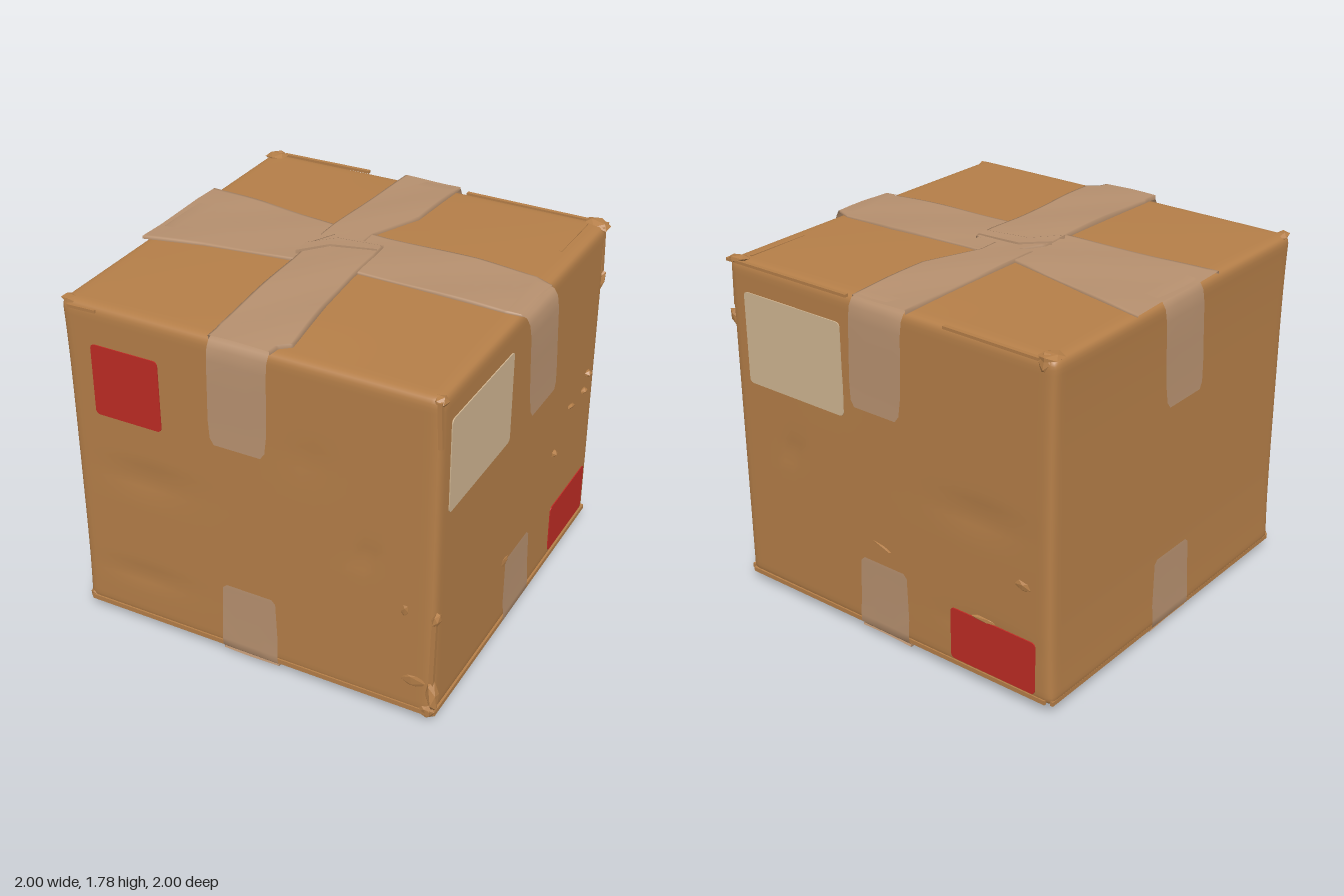
import * as THREE from 'three';
import { mergeVertices } from 'three/addons/utils/BufferGeometryUtils.js';

const mat = (name, color, extra = {}) => {
  const m = new THREE.MeshStandardMaterial({ color, ...extra });
  m.name = name;
  return m;
};
const XP = 0.925, XN = 0.95, Z = 0.94; // distances of the side walls

// Gently domed lid and base
const dome = (x, z) => Math.max(0, 1 - (x / 0.95) ** 2) * Math.max(0, 1 - (z / 0.95) ** 2);
const lidY = (x, z) => 1.727 + 0.025 * dome(x, z);
const baseY = (x, z) => 0.045 - 0.025 * dome(x, z);

// Rounded carton with dents and a slightly flared wall
function cartonGeometry() {
  let g = new THREE.BoxGeometry(2, 2, 2, 40, 40, 40);
  g.deleteAttribute('uv');
  g.deleteAttribute('normal');
  g = mergeVertices(g);
  const p = g.attributes.position, r = 0.045;
  const half = new THREE.Vector3((XP + XN) / 2, 0.841, Z);
  const core = half.clone().subScalar(r), v = new THREE.Vector3(), c = new THREE.Vector3();
  const spread = t => 1.5 * t - 0.5 * t ** 3; // finer cells near the edges
  const dents = [[-0.55, 0.87, 0.2, 0.05, 0.014], [-0.6, 0.3, 0.2, 0.04, 0.01], [0.58, 0.84, 0.04, 0.04, 0.015], [0.3, 1.25, 0.1, 0.08, 0.005]];
  for (let i = 0; i < p.count; i++) {
    v.fromBufferAttribute(p, i);
    v.set(spread(v.x), spread(v.y), spread(v.z)).multiply(half);
    c.copy(v).clamp(core.clone().negate(), core);
    v.sub(c).setLength(r).add(c);
    const side = v.y / half.y;
    v.x += (XP - XN) / 2;
    v.y += 0.886;
    if (side > 0.9) v.y += lidY(v.x, v.z) - 1.727;
    if (side < -0.9) v.y += baseY(v.x, v.z) - 0.045;
    if (v.x < -0.85) v.x -= 0.012 * side ** 4;
    if (Math.abs(v.z) > 0.9) for (const [x, y, w, h, d] of dents)
      v.z -= Math.sign(v.z) * d * Math.exp(-(((v.x - x) / w) ** 2) - ((v.y - y) / h) ** 2);
    p.setXYZ(i, v.x, v.y, v.z);
  }
  g.computeVertexNormals();
  return g;
}

// Sheet through equal-length rows of points
function sheet(rows) {
  const n = rows[0].length, idx = [];
  for (let i = 0; i < rows.length - 1; i++)
    for (let j = 0; j < n - 1; j++) {
      const a = i * n + j, b = a + n;
      idx.push(a, b, a + 1, b, b + 1, a + 1);
    }
  const g = new THREE.BufferGeometry();
  g.setAttribute('position', new THREE.Float32BufferAttribute(rows.flat(2), 3));
  g.setIndex(idx);
  g.computeVertexNormals();
  return g;
}
const at = (axis, s, y, a) => (axis === 'x' ? [s, y, a] : [a, y, s]);

// Tape lying on the lid or base; stations are [along, low edge, high edge]
function flatTape(axis, stations, surface, lift) {
  const rows = [];
  for (let k = 0; k < stations.length - 1; k++)
    for (let i = k ? 1 : 0; i <= 6; i++) {
      const [s, lo, hi] = stations[k].map((q, m) => THREE.MathUtils.lerp(q, stations[k + 1][m], i / 6));
      rows.push([0, 0, 0.03, 0.25, 0.5, 0.75, 0.97, 1, 1].map((t, j) => {
        const a = lo + (hi - lo) * t, pt = at(axis, s, 0, a);
        const edge = j === 0 || j === 8;
        pt[1] = surface(pt[0], pt[2]) + (edge ? 0 : lift + Math.sign(lift) * 0.003 * Math.sin(9 * s + 14 * a));
        return pt;
      }));
    }
  return sheet(rows);
}

// Tape following a side profile of [outward, y], with a rounded free end
function sideTape(axis, sign, lo, hi, profile) {
  const last = profile.length - 1;
  return sheet(profile.map(([s, y], i) => {
    const inset = i === last ? 0.03 : i === last - 1 ? 0.009 : 0;
    return [0, 0.33, 0.67, 1].map(t => at(axis, sign * s, y, lo + inset + (hi - lo - 2 * inset) * t));
  }));
}

// Thin label with rounded corners
function labelGeometry(w, h, r = 0.025) {
  const x = w / 2, y = h / 2, s = new THREE.Shape();
  s.moveTo(-x + r, -y).lineTo(x - r, -y).quadraticCurveTo(x, -y, x, -y + r);
  s.lineTo(x, y - r).quadraticCurveTo(x, y, x - r, y);
  s.lineTo(-x + r, y).quadraticCurveTo(-x, y, -x, y - r);
  s.lineTo(-x, -y + r).quadraticCurveTo(-x, -y, -x + r, -y);
  return new THREE.ExtrudeGeometry(s, { depth: 0.008, bevelEnabled: false });
}

export function createModel() {
  const model = new THREE.Group();
  model.name = 'parcel';
  const cardboard = mat('cardboard', 0xb47e48);
  const tape = mat('packing tape', 0xb58f6e, { side: THREE.DoubleSide });
  const red = mat('red label', 0xbd2b24);
  const cream = mat('cream label', 0xd0b591);
  const add = (name, geometry, material) => {
    const m = new THREE.Mesh(geometry, material);
    m.name = name;
    model.add(m);
    return m;
  };

  add('carton', cartonGeometry(), cardboard);

  // Crossed tape on the lid
  add('lidTapeAcross', flatTape('x', [[-0.965, -0.37, 0.27], [-0.65, -0.32, 0.22], [-0.2, -0.23, 0.18], [0.1, -0.22, 0.16], [0.55, -0.235, 0.16], [0.85, -0.22, 0.155], [0.94, -0.18, 0.14]], lidY, 0.012), tape);
  add('lidTapeBack', flatTape('z', [[-0.95, -0.175, 0.13], [-0.5, -0.19, 0.12], [-0.22, -0.2, 0.01], [-0.1, -0.2, 0.01]], lidY, 0.017), tape);
  add('lidTapeFront', flatTape('z', [[-0.12, -0.14, 0.12], [0, -0.2, 0.13], [0.2, -0.19, 0.13], [0.5, -0.185, 0.15], [0.85, -0.175, 0.19], [0.89, -0.17, 0.14], [0.95, -0.17, 0.13]], lidY, 0.021), tape);
  const fold = add('lidTapeFold', flatTape('x', [[-0.21, 0.03, 0.13], [-0.1, -0.08, 0], [0.12, -0.1, -0.05]], lidY, 0.029), tape);
  fold.position.y = 0.002;

  // Crossed tape under the base
  add('baseTapeAcross', flatTape('x', [[-0.95, -0.15, 0.15], [0, -0.16, 0.14], [0.92, -0.13, 0.17]], baseY, -0.009), tape);
  add('baseTapeAlong', flatTape('z', [[-0.94, -0.14, 0.16], [0, -0.16, 0.14], [0.94, -0.17, 0.13]], baseY, -0.013), tape);
  add('baseTapePatch', flatTape('x', [[-0.17, -0.04, 0.06], [0, -0.12, 0.1], [0.17, -0.06, 0.04]], baseY, -0.016), tape);

  // Tape ends: loose flaps from the lid and flush strips from the base
  const sides = [
    ['front', 'z', 1, Z, -0.165, 0.13, -0.17, 0.13],
    ['back', 'z', -1, Z, -0.17, 0.13, -0.14, 0.16],
    ['left', 'x', 1, XP, -0.17, 0.15, -0.13, 0.17],
    ['right', 'x', -1, XN, -0.17, 0.13, -0.15, 0.15],
  ];
  for (const [name, axis, sign, f, lo, hi, blo, bhi] of sides) {
    add(name + 'TapeFlap', sideTape(axis, sign, lo, hi, [[0.86, 1.747], [0.925, 1.744], [0.955, 1.73], [0.973, 1.7], [0.982, 1.64], [0.987, 1.5], [0.993, 1.35], [0.998, 1.26], [1, 1.23]]), tape);
    add(name + 'BaseTapeEnd', sideTape(axis, sign, blo, bhi, [[f - 0.1, 0.025], [f - 0.01, 0.035], [f + 0.012, 0.06], [f + 0.014, 0.1], [f + 0.008, 0.18], [f + 0.006, 0.4], [f + 0.005, 0.42]]), tape);
  }

  // Labels on three walls
  const label = (name, w, h, pos, turn, material) => {
    const m = add(name, labelGeometry(w, h), material);
    m.position.set(...pos);
    m.rotation.y = turn;
  };
  label('frontRedLabel', 0.355, 0.365, [-0.628, 1.35, Z - 0.003], 0, red);
  label('leftCreamLabel', 0.64, 0.465, [XP - 0.003, 1.352, 0.52], Math.PI / 2, cream);
  label('leftRedLabel', 0.455, 0.265, [XP - 0.003, 0.225, -0.65], Math.PI / 2, red);
  label('backCreamLabel', 0.6, 0.46, [0.525, 1.352, -Z + 0.003], Math.PI, cream);
  label('backRedLabel', 0.48, 0.27, [-0.63, 0.22, -Z + 0.003], Math.PI, red);

  // Frayed flap edges along the lid and base: centre, size, tilt
  const frays = [
    [[-0.01, 0.065, 0.937], [1.85, 0.025, 0.016], 0.004],
    [[-0.01, 0.062, -0.937], [1.83, 0.022, 0.014], -0.004],
    [[0.925, 0.062, 0], [0.016, 0.024, 1.85], 0],
    [[-0.95, 0.062, 0], [0.016, 0.022, 1.85], 0],
    [[-0.63, 1.722, -0.94], [0.5, 0.014, 0.02], 0.01],
    [[0.55, 1.72, -0.938], [0.75, 0.014, 0.02], -0.006],
    [[-0.84, 1.7, 0.938], [0.15, 0.015, 0.012], 0.03],
    [[0.915, 1.6, 0.925], [0.02, 0.22, 0.02], 0.04],
    [[0.915, 0.36, 0.925], [0.022, 0.5, 0.022], -0.02],
    [[0.92, 1.6, -0.9], [0.014, 0.24, 0.03], 0.03],
    [[0.84, 1.727, -0.7], [0.012, 0.012, 0.34], 0],
  ];
  for (const [pos, size, tilt] of frays) {
    const m = add('frayedEdge', new THREE.BoxGeometry(...size), cardboard);
    m.position.set(...pos);
    m.rotation.z = tilt;
  }

  // Crumpled corners and torn flakes: position, size
  const flakes = [
    [-0.91, 1.725, -0.9, 0.06, 0.018, 0.06], [0.88, 1.72, -0.91, 0.07, 0.022, 0.05],
    [-0.92, 1.715, 0.9, 0.045, 0.02, 0.05], [0.9, 1.7, 0.9, 0.035, 0.03, 0.04],
    [0.89, 0.07, 0.92, 0.05, 0.05, 0.03], [0.92, 0.18, 0.93, 0.03, 0.09, 0.035],
    [0.82, 0.23, 0.935, 0.08, 0.04, 0.012], [0.78, 0.61, 0.938, 0.02, 0.04, 0.01],
    [0.925, 0.6, 0.92, 0.02, 0.04, 0.03], [0.922, 0.7, -0.41, 0.025, 0.02, 0.025],
    [0.925, 0.95, -0.81, 0.03, 0.02, 0.025], [0.925, 0.87, -0.6, 0.02, 0.012, 0.04],
    [0.925, 0.87, -0.77, 0.025, 0.015, 0.03], [0.922, 0.41, 0.17, 0.008, 0.03, 0.05],
    [0.915, 1.42, -0.92, 0.025, 0.06, 0.02], [-0.93, 0.07, 0.91, 0.03, 0.035, 0.04],
    [-0.6, 0.36, -0.935, 0.1, 0.015, 0.012], [-0.8, 0.62, -0.935, 0.05, 0.03, 0.014],
    [0.05, 0.52, -0.936, 0.1, 0.01, 0.01], [-0.9, 1.7, -0.925, 0.03, 0.05, 0.025],
  ];
  flakes.forEach(([x, y, z, a, b, c], i) => {
    const m = add('tornFlake', new THREE.IcosahedronGeometry(1, 0), cardboard);
    m.position.set(x, y, z);
    m.scale.set(a, b, c);
    m.rotation.set(0.2 * Math.sin(i * 2.1), 0.2 * Math.sin(i * 3.7), 0.2 * Math.sin(i * 5.3));
  });
  return model;
}
